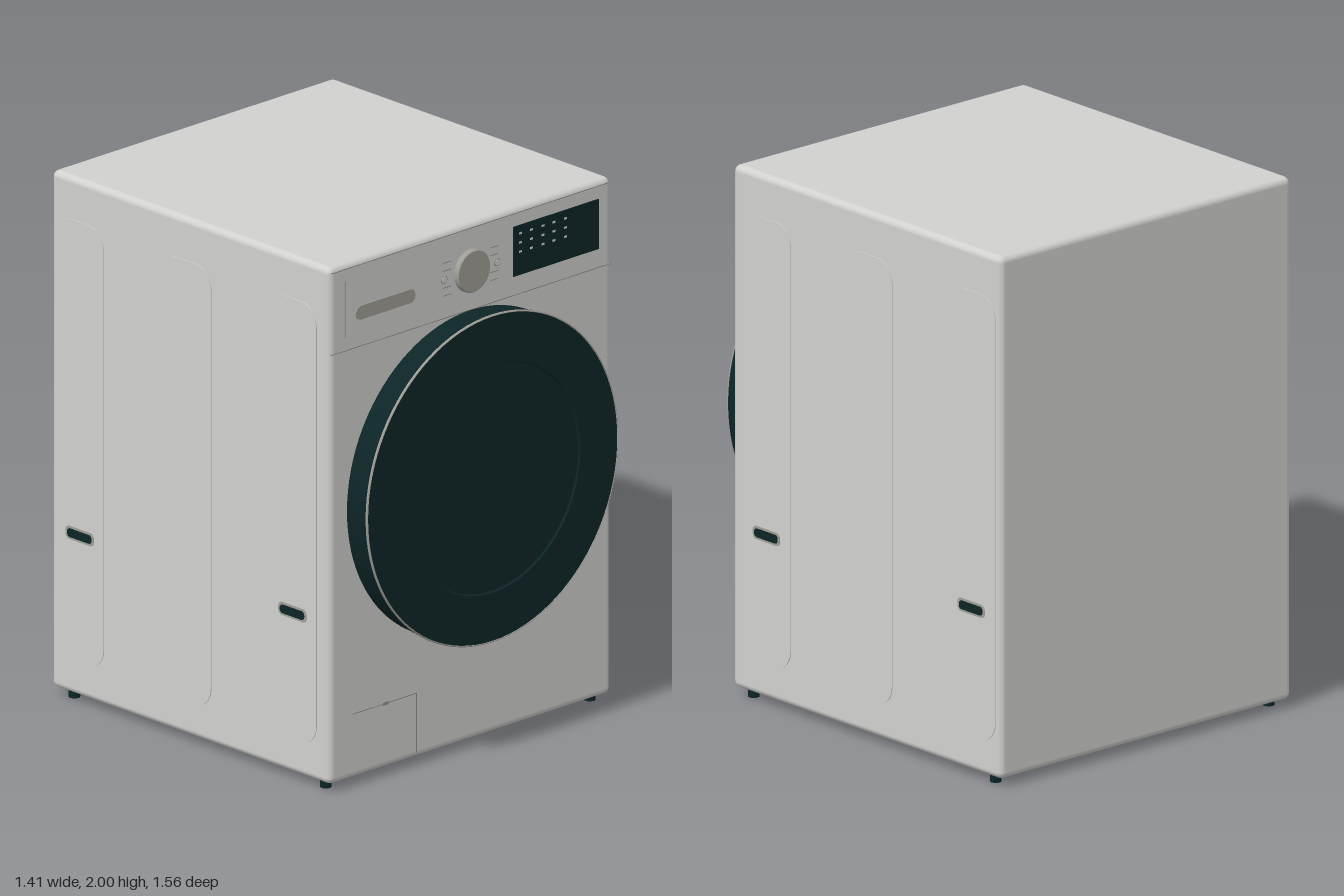
import * as THREE from 'three';
import { toCreasedNormals } from 'three/addons/utils/BufferGeometryUtils.js';
import { RoundedBoxGeometry } from 'three/addons/geometries/RoundedBoxGeometry.js';

const FRONT = 0.66, SIDE = 0.7;

// rounded rectangle plate, centred in x and y, rising from z = 0
function plateGeometry(w, h, r, depth) {
  const s = new THREE.Shape();
  const x = w / 2, y = h / 2;
  s.moveTo(-x + r, -y);
  s.lineTo(x - r, -y);
  s.absarc(x - r, -y + r, r, -Math.PI / 2, 0);
  s.lineTo(x, y - r);
  s.absarc(x - r, y - r, r, 0, Math.PI / 2);
  s.lineTo(-x + r, y);
  s.absarc(-x + r, y - r, r, Math.PI / 2, Math.PI);
  s.lineTo(-x, -y + r);
  s.absarc(-x + r, -y + r, r, Math.PI, Math.PI * 1.5);
  return new THREE.ExtrudeGeometry(s, { depth, bevelEnabled: false, curveSegments: 8 });
}

// surface of revolution about z from [radius, z] points
function turned(points) {
  const g = new THREE.LatheGeometry(points.map(([r, z]) => new THREE.Vector2(r, z)), 96);
  return toCreasedNormals(g.rotateX(Math.PI / 2), 0.5);
}

export function createModel() {
  const model = new THREE.Group();
  model.name = 'washingMachine';
  const mat = (name, color) => new THREE.MeshStandardMaterial({ name, color });
  const white = mat('cabinetGrey', 0xd1d1cf);
  const dark = mat('darkGlass', 0x0d2527);
  const metal = mat('warmGrey', 0xa09f97);
  const seam = mat('seamGrey', 0x92928e);

  const add = (name, geometry, material, x = 0, y = 0, z = 0, parent = model) => {
    const m = new THREE.Mesh(geometry, material);
    m.name = name;
    m.position.set(x, y, z);
    parent.add(m);
    return m;
  };
  const line = (name, x0, x1, y0, y1, material = seam, z = FRONT) =>
    add(name, new THREE.BoxGeometry(x1 - x0, y1 - y0, 0.004), material, (x0 + x1) / 2, (y0 + y1) / 2, z);

  // cabinet
  add('cabinet', new RoundedBoxGeometry(1.4, 1.97, 1.44, 4, 0.025), white, 0, 1.015, -0.06);

  // feet
  for (const x of [-0.655, 0.655]) for (const z of [0.595, -0.705])
    add('foot', new THREE.CylinderGeometry(0.021, 0.021, 0.04, 20), dark, x, 0.02, z);

  // pressed side panels and transport grips
  for (const s of [-1, 1]) {
    const side = (name, w, h, r, depth, material, y, z) =>
      add(name, plateGeometry(w, h, r, depth).rotateY(s * Math.PI / 2), material, s * (SIDE - 0.002), y, z);
    for (const z of [0.47, -0.075, -0.63])
      side('sidePanel', 0.25, 1.68, 0.08, 0.005, white, 1, z);
    for (const z of [0.473, -0.627]) {
      side('gripRim', 0.145, 0.05, 0.02, 0.007, metal, 0.645, z);
      side('gripSlot', 0.125, 0.033, 0.014, 0.009, dark, 0.645, z);
    }
  }

  // door: side wall, thin bright rim, glass with a shallow dish
  const door = new THREE.Group();
  door.name = 'door';
  door.position.y = 1.055;
  model.add(door);
  add('doorWall', turned([[0.612, 0.65], [0.615, 0.7], [0.624, 0.768]]), dark, 0, 0, 0, door);
  add('doorRim', turned([[0.624, 0.768], [0.624, 0.774], [0.62, 0.777], [0.618, 0.775]]), metal, 0, 0, 0, door);
  add('doorGlass', turned([[0.618, 0.775], [0.435, 0.775], [0.43, 0.767], [0, 0.767]]), dark, 0, 0, 0, door);

  // front seams: top edge, control panel, drawer and service flap
  line('topSeam', -0.69, 0.69, 1.978, 1.981, seam, FRONT - 0.001);
  line('panelSeam', -0.695, 0.695, 1.668, 1.671);
  line('drawerSeam', -0.624, -0.621, 1.72, 1.935);
  line('flapTopSeam', -0.585, -0.268, 0.274, 0.277);
  line('flapSideSeam', -0.271, -0.268, 0.05, 0.277);
  add('flapCatch', plateGeometry(0.03, 0.012, 0.005, 0.004), seam, -0.425, 0.276, FRONT);

  // drawer handle
  add('drawerHandle', plateGeometry(0.296, 0.053, 0.026, 0.006), metal, -0.424, 1.797, FRONT - 0.002);

  // program knob with a softened edge
  add('knob', turned([[0.081, 0.65], [0.081, 0.676], [0.077, 0.681], [0, 0.681]]), metal, 0, 1.82, 0);

  // program marks and small buttons beside the knob
  for (const s of [-1, 1]) {
    for (const y of [1.755, 1.785, 1.85, 1.88]) {
      const x = s * 0.117;
      line('programMark', x - 0.02, x + 0.02, y - 0.0015, y + 0.0015, seam);
    }
    add('smallButtonRing', turned([[0.015, 0.655], [0.015, 0.663], [0, 0.663]]), seam, s * 0.132, 1.817, 0);
    add('smallButton', turned([[0.012, 0.655], [0.012, 0.665], [0, 0.665]]), white, s * 0.132, 1.817, 0);
  }

  // display with indicator lights
  add('display', new THREE.BoxGeometry(0.424, 0.19, 0.008), dark, 0.422, 1.836, FRONT);
  for (let c = 0; c < 5; c++) for (const y of [1.9, 1.865, 1.83]) {
    const x = 0.243 + c * 0.056;
    line('indicator', x - 0.007, x + 0.007, y - 0.004, y + 0.004, white, FRONT + 0.003);
  }
  return model;
}
